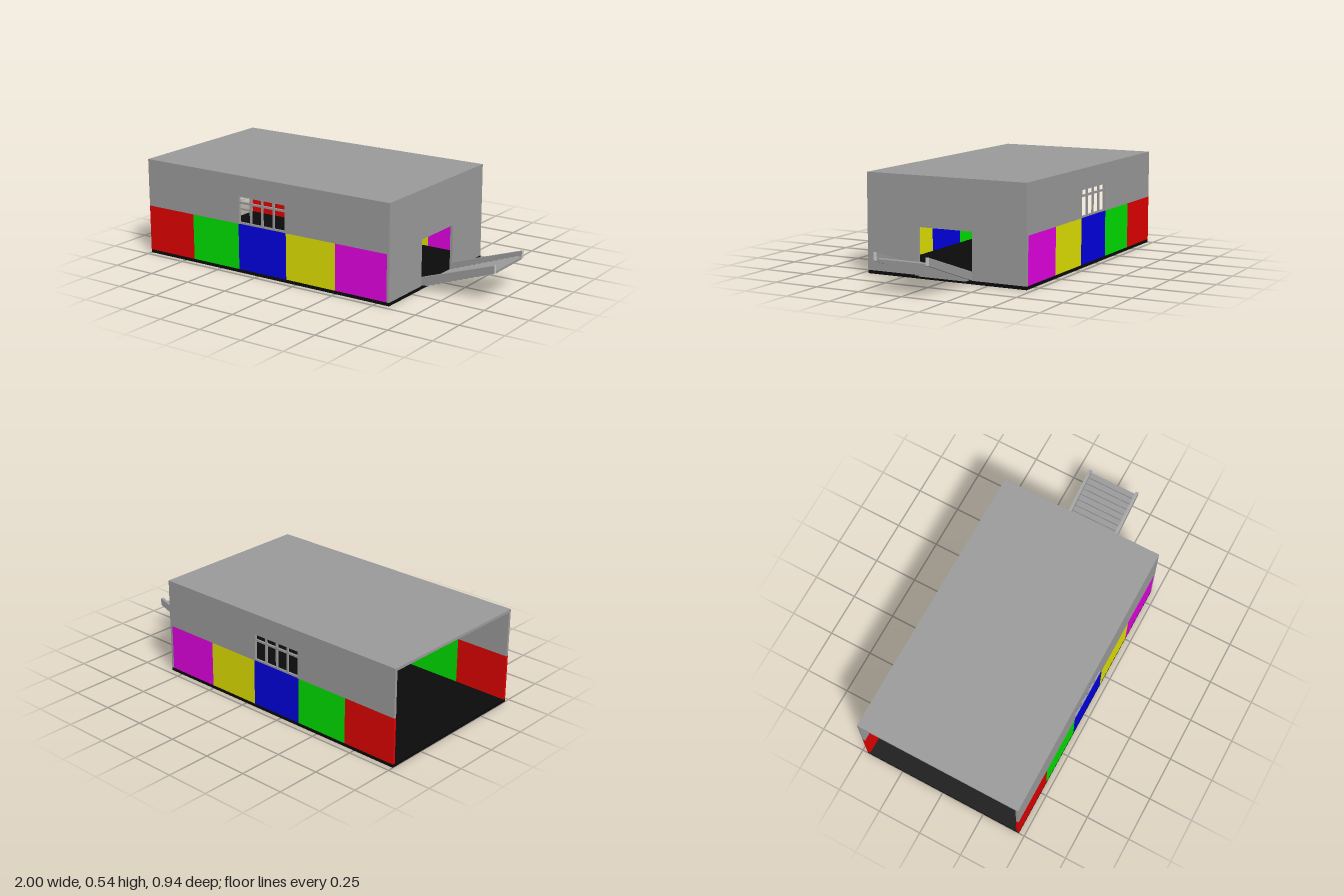
import * as THREE from 'three';

const mat = (color) => new THREE.MeshStandardMaterial({ color, flatShading: true });

// Box given by its minimum and maximum corners
function box(name, material, [x0, y0, z0], [x1, y1, z1]) {
  const mesh = new THREE.Mesh(new THREE.BoxGeometry(x1 - x0, y1 - y0, z1 - z0), material);
  mesh.name = name;
  mesh.position.set((x0 + x1) / 2, (y0 + y1) / 2, (z0 + z1) / 2);
  return mesh;
}

// Flat outline in x and y, extruded towards +z
function plate(name, material, points, depth) {
  const shape = new THREE.Shape(points.map(([x, y]) => new THREE.Vector2(x, y)));
  const geometry = new THREE.ExtrudeGeometry(shape, { depth, bevelEnabled: false });
  const mesh = new THREE.Mesh(geometry, material);
  mesh.name = name;
  return mesh;
}

export function createModel() {
  const model = new THREE.Group();
  model.name = 'hall';
  const wallGrey = mat(0x999999), lightGrey = mat(0xcccccc), black = mat(0x0a0a0a);
  const panelMats = [0xdd0000, 0x00dd00, 0x0000dd, 0xdddd00, 0xdd00dd].map(mat);

  const X0 = -1, X1 = 0.577, Z = 0.468, T = 0.015;
  const floorY = 0.018, midY = 0.272, topY = 0.538, ceilY = topY - T;
  const inX = X1 - T;
  const winL = -0.37, winR = -0.07, winTop = 0.422;

  // Floor and roof
  model.add(box('floor', black, [X0, 0, -Z], [X1, floorY, Z]));
  model.add(box('roof', wallGrey, [X0, ceilY, -Z], [X1, topY, Z]));

  // Long side walls: coloured lower panels, upper wall with a barred window
  for (const side of [1, -1]) {
    const wall = new THREE.Group();
    wall.name = side > 0 ? 'frontWall' : 'backWall';
    const pitch = (inX - X0) / panelMats.length;
    panelMats.forEach((m, i) => wall.add(box('colourPanel', m,
      [X0 + i * pitch, floorY, -T / 2], [X0 + (i + 1) * pitch, midY, T / 2])));

    const upper = plate('upperWall', wallGrey, [
      [X0, midY], [winL, midY], [winL, winTop], [winR, winTop],
      [winR, midY], [inX, midY], [inX, ceilY], [X0, ceilY]], T);
    upper.position.z = -T / 2;
    wall.add(upper);

    // Window sill, transom and upright bars
    const b = 0.005;
    wall.add(box('windowSill', wallGrey, [winL, midY, -b], [winR, midY + 0.01, b]));
    wall.add(box('windowTransom', wallGrey, [winL, 0.384, -b], [winR, 0.395, b]));
    for (let i = 1; i < 4; i++) {
      const x = winL + i * (winR - winL) / 4;
      wall.add(box('windowBar', wallGrey, [x - b, midY, -b], [x + b, winTop, b]));
    }
    wall.position.z = side * (Z - T / 2);
    model.add(wall);
  }

  // End wall with the doorway; the opposite end stays open
  const doorZ = 0.157, doorTop = 0.27;
  const endWall = plate('endWall', wallGrey, [
    [-Z, floorY], [-doorZ, floorY], [-doorZ, doorTop], [doorZ, doorTop],
    [doorZ, floorY], [Z, floorY], [Z, ceilY], [-Z, ceilY]], T);
  endWall.rotation.y = Math.PI / 2;
  endWall.position.x = inX;
  model.add(endWall);

  // Stairs rising outwards between two sloping side rails
  const stairs = new THREE.Group();
  stairs.name = 'stairs';
  const steps = 13, railW = 0.017;
  const run = (0.998 - X1) / steps, rise = (0.173 - floorY) / steps;
  for (let i = 0; i < steps; i++) {
    stairs.add(box('step', wallGrey,
      [X1 + i * run, floorY + i * rise, railW - doorZ],
      [X1 + (i + 1) * run, floorY + (i + 1) * rise + 0.001, doorZ - railW]));
  }
  for (const z of [-doorZ, doorZ - railW]) {
    const rail = plate('stairRail', wallGrey,
      [[X1, 0.02], [1, 0.165], [1, 0.207], [X1, 0.066]], railW);
    rail.position.z = z;
    stairs.add(rail);
    stairs.add(box('railEnd', lightGrey, [0.998, 0.165, z], [1.0005, 0.207, z + railW]));
  }
  model.add(stairs);

  // Small lamp cube inside the hall
  model.add(box('lamp', lightGrey, [-0.225, 0.235, -0.02], [-0.195, 0.265, 0.01]));

  return model;
}
